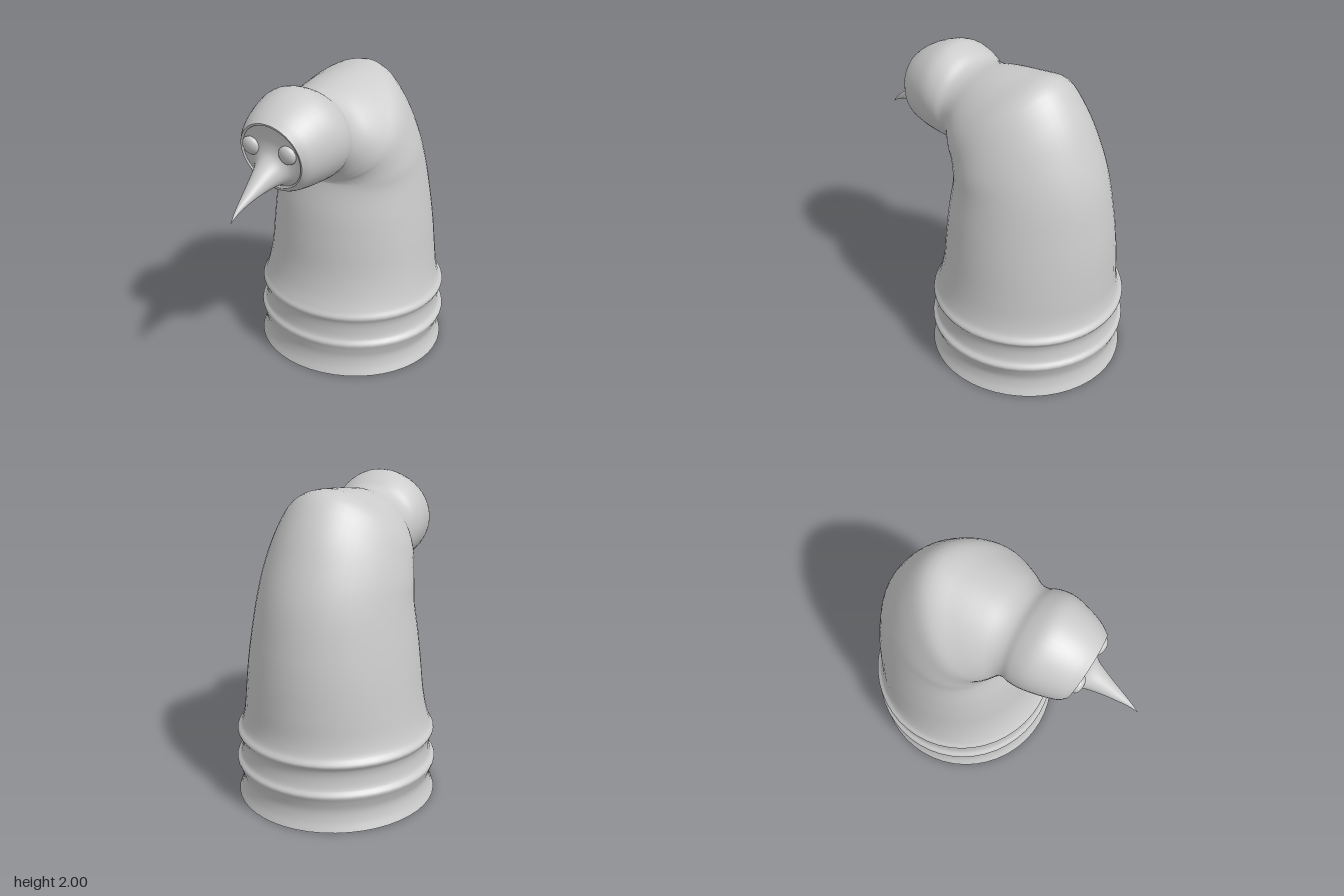
import * as THREE from 'three';

const material = new THREE.MeshStandardMaterial({ color: 0xcccccc, side: THREE.DoubleSide });

// Skin over egg-shaped rings. Each ring is [zFront, yFront, zBack, yBack, halfWidth, egg]:
// the two ends of its axis in the middle plane, its half width in x,
// and how much it widens at the front end and narrows at the back end.
function loft(name, rings, { steps = 4, sides = 48, flip = false } = {}) {
  const front = new THREE.CatmullRomCurve3(rings.map(r => new THREE.Vector3(r[5] ?? 0, r[1], r[0])));
  const back = new THREE.CatmullRomCurve3(rings.map(r => new THREE.Vector3(r[4], r[3], r[2])));
  const count = (rings.length - 1) * steps;
  const positions = [], index = [];
  for (let i = 0; i <= count; i++) {
    const f = front.getPoint(i / count), b = back.getPoint(i / count);
    for (let j = 0; j < sides; j++) {
      const a = (j / sides) * Math.PI * 2, k = (1 + Math.cos(a)) / 2;
      const x = b.x * Math.sin(a) * (1 - f.x * Math.cos(a));
      positions.push(x, f.y + (b.y - f.y) * k, f.z + (b.z - f.z) * k);
    }
  }
  for (let i = 0; i < count; i++) {
    for (let j = 0; j < sides; j++) {
      const a = i * sides + j, c = i * sides + (j + 1) % sides;
      const b = a + sides, d = c + sides;
      if (flip) index.push(a, c, b, c, d, b);
      else index.push(a, b, c, c, b, d);
    }
  }
  const geometry = new THREE.BufferGeometry();
  geometry.setAttribute('position', new THREE.Float32BufferAttribute(positions, 3));
  geometry.setIndex(index);
  geometry.computeVertexNormals();
  const mesh = new THREE.Mesh(geometry, material);
  mesh.name = name;
  return mesh;
}

// Level ring at height y
const level = (y, front, back, width, egg = 0) => [front, y, back, y, width, egg];

export function createModel() {
  const model = new THREE.Group();
  model.name = 'hoodedBird';

  // Ribbed skirt, straight trunk, then the bend into the neck and head
  model.add(loft('bodyAndHead', [
    level(0, 0.328, -0.953, 0.645, 0.02),
    level(0.06, 0.308, -0.932, 0.622, 0.02),
    level(0.13, 0.3, -0.925, 0.615, 0.02),
    level(0.2, 0.31, -0.942, 0.637, 0.02),
    level(0.24, 0.317, -0.955, 0.65, 0.02),
    level(0.275, 0.297, -0.932, 0.622, 0.02),
    level(0.35, 0.29, -0.92, 0.612, 0.02),
    level(0.4, 0.295, -0.928, 0.62, 0.02),
    level(0.44, 0.307, -0.948, 0.64, 0.02),
    level(0.48, 0.287, -0.922, 0.615, 0.03),
    level(0.56, 0.255, -0.905, 0.592, 0.04),
    level(0.7, 0.222, -0.9, 0.57, 0.05),
    level(0.9, 0.2, -0.89, 0.548, 0.07),
    level(1.1, 0.172, -0.868, 0.522, 0.1),
    [0.132, 1.27, -0.82, 1.36, 0.49, 0.14],
    [0.122, 1.32, -0.74, 1.58, 0.475, 0.17],
    [0.123, 1.33, -0.62, 1.81, 0.45, 0.19],
    [0.125, 1.337, -0.46, 1.975, 0.425, 0.2],
    [0.128, 1.345, -0.25, 1.97, 0.395, 0.18],
    [0.135, 1.355, -0.06, 1.945, 0.355, 0.12],
    [0.16, 1.375, 0.07, 1.92, 0.31, 0.04],
    [0.19, 1.385, 0.14, 1.925, 0.3],
    [0.23, 1.38, 0.21, 1.965, 0.315],
    [0.31, 1.38, 0.32, 2.0, 0.318],
    [0.44, 1.39, 0.45, 1.965, 0.29],
    [0.51, 1.405, 0.56, 1.905, 0.256],
    [0.53, 1.43, 0.618, 1.86, 0.225],
  ]));

  // Rounded lip and shallow funnel-shaped hollow under the skirt
  model.add(loft('innerHollow', [
    level(0, 0.328, -0.953, 0.645, 0.02),
    level(0.005, 0.3, -0.925, 0.617, 0.02),
    level(0.03, 0.25, -0.875, 0.567),
    level(0.14, 0.13, -0.755, 0.445),
    level(0.3, -0.05, -0.575, 0.265),
    level(0.48, -0.31, -0.31, 0),
  ], { flip: true }));

  // Thin rim around the face
  model.add(loft('faceRim', [
    [0.53, 1.43, 0.618, 1.86, 0.225],
    [0.531, 1.44, 0.615, 1.848, 0.215],
    [0.522, 1.442, 0.607, 1.846, 0.213],
  ], { steps: 1 }));

  // Face running smoothly into the beak, which hooks down to its tip
  model.add(loft('faceAndBeak', [
    [0.522, 1.442, 0.607, 1.846, 0.213],
    [0.535, 1.452, 0.598, 1.79, 0.175],
    [0.56, 1.457, 0.592, 1.72, 0.132],
    [0.61, 1.458, 0.61, 1.66, 0.098],
    [0.7, 1.448, 0.705, 1.58, 0.064],
    [0.8, 1.43, 0.805, 1.5, 0.037],
    [0.89, 1.398, 0.9, 1.425, 0.014],
    [0.96, 1.357, 0.96, 1.357, 0],
  ]));

  // Flattened eyes lying on the tilted face
  for (const [side, name] of [[1, 'leftEye'], [-1, 'rightEye']]) {
    const eye = new THREE.Mesh(new THREE.SphereGeometry(0.06, 24, 16), material);
    eye.name = name;
    eye.scale.z = 0.55;
    eye.rotation.x = 0.2;
    eye.position.set(side * 0.135, 1.69, 0.59);
    model.add(eye);
  }
  return model;
}
